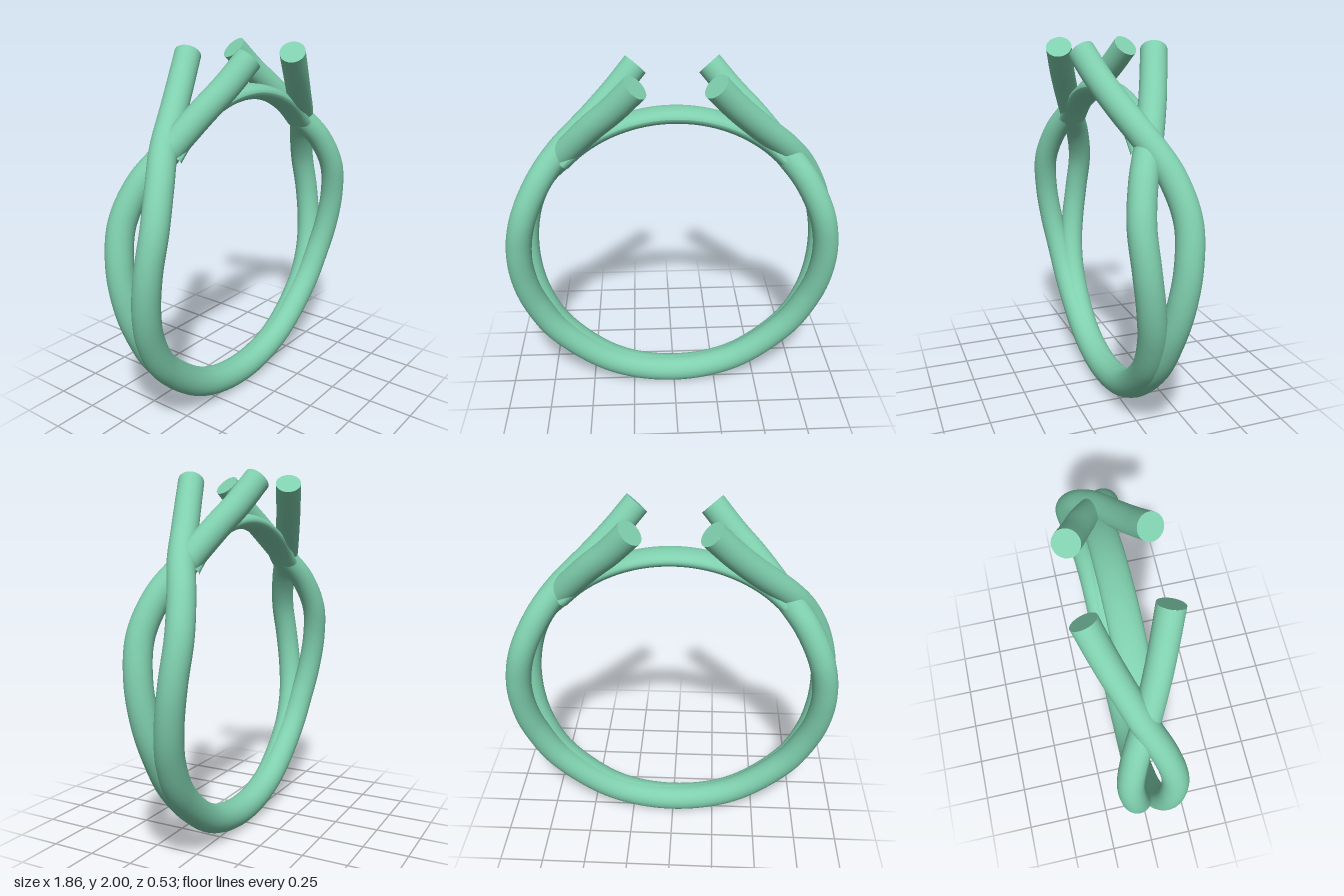
import * as THREE from 'three';

const CENTER_Y = 0.928;
const RING_R = 0.856;
const material = new THREE.MeshStandardMaterial({ color: 0x7fcfae });

// Half of a strand: [degrees from the bottom, radial offset weight, z]
const BODY = [
  [25, 0.3, 0.009], [52, 0.8, 0.022], [68, 1, 0.043], [81, 1, 0.073], [95, 1, 0.102],
  [109, 1, 0.113], [123, 1.2, 0.07], [135, 1.6, 0.0],
];
// Free tip of a strand: [x, y, z]
const TIP = [[0.43, 1.707, -0.09], [0.31, 1.823, -0.146], [0.195, 1.949, -0.196]];

function halfStrand(side, offset) {
  const body = BODY.map(([deg, w, z]) => {
    const a = THREE.MathUtils.degToRad(deg);
    const r = RING_R - 0.003 + offset * w;
    return new THREE.Vector3(side * r * Math.sin(a), CENTER_Y - r * Math.cos(a), z);
  });
  const tip = TIP.map(([x, y, z]) => new THREE.Vector3(side * x, y, z));
  return [...body, ...tip];
}

// Tube that is slightly thicker at the bottom of the ring
function strandGeometry(path) {
  const n = 240, m = 28;
  const geo = new THREE.TubeGeometry(path, n, 0.07, m, false);
  const pos = geo.attributes.position;
  const v = new THREE.Vector3();
  for (let i = 0; i <= n; i++) {
    const p = path.getPointAt(i / n);
    const s = 1 + 0.1 * (1 - THREE.MathUtils.smoothstep(p.y, 0.1, 1.1));
    for (let j = 0; j <= m; j++) {
      const k = i * (m + 1) + j;
      v.fromBufferAttribute(pos, k).sub(p).multiplyScalar(s).add(p);
      pos.setXYZ(k, v.x, v.y, v.z);
    }
  }
  return geo;
}

function createStrand() {
  const strand = new THREE.Group();
  // Outer strand on one side, inner strand on the other
  const points = [
    ...halfStrand(-1, 0.009).reverse(),
    new THREE.Vector3(0, CENTER_Y - RING_R + 0.006, 0.008),
    ...halfStrand(1, -0.007),
  ];
  const path = new THREE.CatmullRomCurve3(points);
  path.arcLengthDivisions = 600;
  const tube = new THREE.Mesh(strandGeometry(path), material);
  tube.name = 'strandTube';
  strand.add(tube);

  // Flat ends
  for (const [t, dir] of [[0, -1], [1, 1]]) {
    const cap = new THREE.Mesh(new THREE.CircleGeometry(0.07, 28), material);
    cap.name = 'strandEnd';
    cap.position.copy(path.getPointAt(t));
    const out = path.getTangentAt(t).multiplyScalar(dir);
    cap.quaternion.setFromUnitVectors(new THREE.Vector3(0, 0, 1), out);
    strand.add(cap);
  }
  return strand;
}

// Wide, low rounded bar that bridges the top between the crossings
function createBridge() {
  const half = THREE.MathUtils.degToRad(46);
  const path = new THREE.CatmullRomCurve3(
    Array.from({ length: 13 }, (_, i) => {
      const a = -half + (2 * half * i) / 12;
      return new THREE.Vector3(0.815 * Math.sin(a), CENTER_Y + 0.815 * Math.cos(a), 0);
    }));
  const geo = new THREE.TubeGeometry(path, 64, 0.0425, 28, false);
  const pos = geo.attributes.position;
  for (let i = 0; i < pos.count; i++) pos.setZ(i, pos.getZ(i) * 1.95);
  geo.computeVertexNormals();
  const bridge = new THREE.Mesh(geo, material);
  bridge.name = 'topBridge';
  return bridge;
}

export function createModel() {
  const ring = new THREE.Group();
  ring.name = 'ring';
  const front = createStrand();
  front.name = 'frontStrand';
  // The second strand is the first turned half way round
  const back = createStrand();
  back.name = 'backStrand';
  back.rotation.y = Math.PI;
  ring.add(front, back, createBridge());
  return ring;
}
